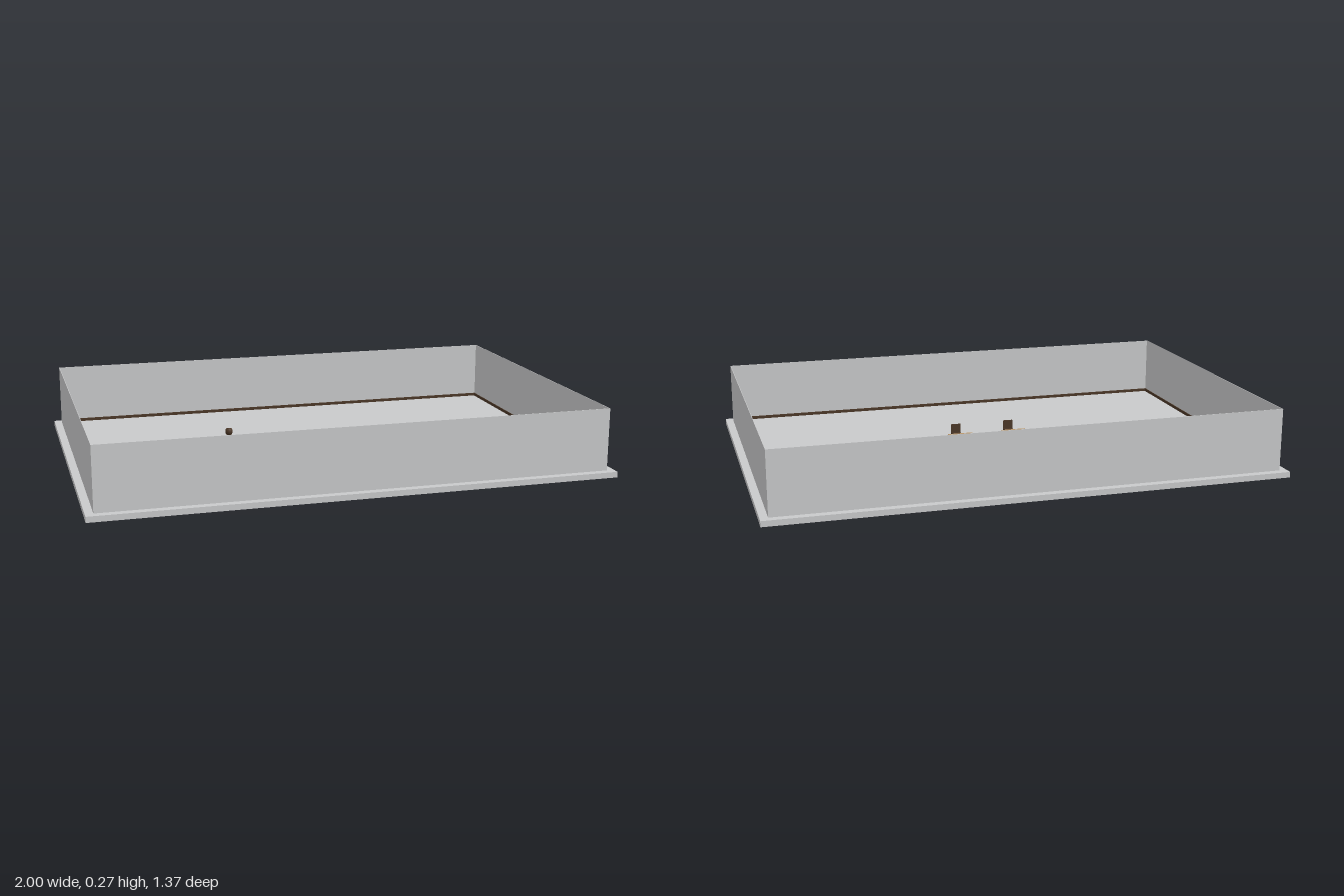
import * as THREE from 'three';

const FLOOR = 0.022;

const mat = (name, color) => {
  const m = new THREE.MeshStandardMaterial({ color });
  m.name = name;
  return m;
};

export function createModel() {
  const plaster = mat('grey plaster', 0xc8c9ca);
  const wood = mat('light wood', 0xb8966c);
  const legWood = mat('brown wood', 0x7a5a3a);
  const dark = mat('dark wood', 0x4a3626);

  const model = new THREE.Group();
  model.name = 'room';

  const add = (parent, name, geometry, material, x = 0, y = 0, z = 0) => {
    const mesh = new THREE.Mesh(geometry, material);
    mesh.name = name;
    mesh.position.set(x, y, z);
    parent.add(mesh);
    return mesh;
  };
  const box = (parent, name, w, h, d, material, x, y, z) =>
    add(parent, name, new THREE.BoxGeometry(w, h, d), material, x, y, z);

  const rectangle = (Type, hx, hz) => new Type([
    new THREE.Vector2(-hx, -hz), new THREE.Vector2(hx, -hz),
    new THREE.Vector2(hx, hz), new THREE.Vector2(-hx, hz),
  ]);
  // Rectangular ring standing upright from a base height
  const ring = (name, hx, hz, thick, base, height, material) => {
    const shape = rectangle(THREE.Shape, hx, hz);
    shape.holes.push(rectangle(THREE.Path, hx - thick, hz - thick));
    const g = new THREE.ExtrudeGeometry(shape, { depth: height, bevelEnabled: false });
    g.rotateX(-Math.PI / 2);
    add(model, name, g, material, 0, base, 0);
  };

  // Shell: plinth rim, floor set into it, walls and skirting
  ring('plinthRim', 1, 0.685, 0.022, 0, FLOOR, plaster);
  box(model, 'floor', 1.956, 0.004, 1.326, plaster, 0, FLOOR - 0.002, 0);
  ring('walls', 0.97, 0.656, 0.002, FLOOR, 0.265 - FLOOR, plaster);
  ring('skirting', 0.968, 0.654, 0.004, FLOOR, 0.012, dark);

  // Four legs at the corners of a rectangle
  const legs = (parent, hx, hz, height, size, material) => {
    for (const sx of [-1, 1]) for (const sz of [-1, 1])
      box(parent, 'leg', size, height, size, material, sx * hx, height / 2, sz * hz);
  };

  const makeTable = (x) => {
    const table = new THREE.Group();
    table.name = 'table';
    box(table, 'tableTop', 0.1, 0.006, 0.048, wood, 0, 0.044, 0);
    legs(table, 0.04, 0.017, 0.041, 0.008, legWood);
    table.position.set(x, FLOOR, -0.003);
    model.add(table);
  };

  const makeChair = (x) => {
    const chair = new THREE.Group();
    chair.name = 'chair';
    box(chair, 'seat', 0.04, 0.005, 0.04, dark, 0, 0.0285, 0);
    box(chair, 'backrest', 0.04, 0.036, 0.005, dark, 0, 0.048, 0.0175);
    legs(chair, 0.0165, 0.0165, 0.026, 0.005, dark);
    chair.position.set(x, FLOOR, 0.077);
    model.add(chair);
  };

  for (const s of [-1, 1]) {
    makeTable(s * 0.113);
    makeChair(s * 0.112);
  }

  // Small round pot on a brown foot
  const pot = new THREE.Group();
  pot.name = 'pot';
  add(pot, 'foot', new THREE.CylinderGeometry(0.01, 0.011, 0.008, 16), legWood, 0, 0.004, 0);
  const profile = [[0, 0.008], [0.01, 0.008], [0.015, 0.015], [0.0155, 0.023], [0.013, 0.032], [0, 0.036]]
    .map(([r, y]) => new THREE.Vector2(r, y));
  add(pot, 'potBody', new THREE.LatheGeometry(profile, 16), dark);
  pot.position.set(-0.314, FLOOR, -0.225);
  model.add(pot);

  return model;
}
